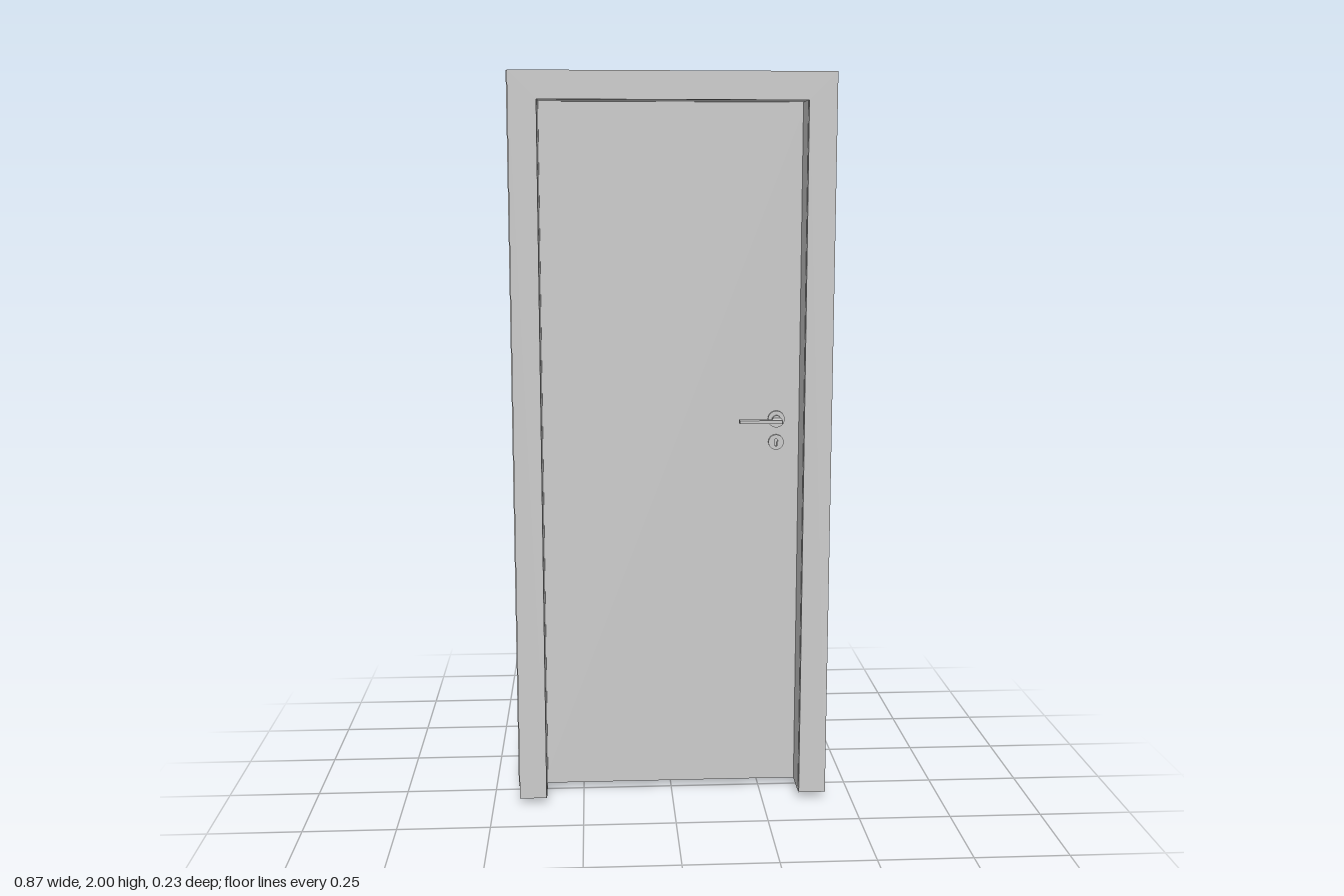
import * as THREE from 'three';

const material = new THREE.MeshStandardMaterial({ color: 0xcccccc });

function add(parent, name, geometry, x = 0, y = 0, z = 0) {
  const mesh = new THREE.Mesh(geometry, material);
  mesh.name = name;
  mesh.position.set(x, y, z);
  parent.add(mesh);
  return mesh;
}

// Solid between two depths, cut from an outline in the xy plane
function slab(shape, z0, z1, curveSegments = 8) {
  const g = new THREE.ExtrudeGeometry(shape, { depth: z1 - z0, bevelEnabled: false, curveSegments });
  return g.translate(0, 0, z0);
}

// Three-sided door surround, open at the floor
function surround(outer, inner, bottom, top, innerTop) {
  return new THREE.Shape([
    [-outer, bottom], [-inner, bottom], [-inner, innerTop], [inner, innerTop],
    [inner, bottom], [outer, bottom], [outer, top], [-outer, top],
  ].map(([x, y]) => new THREE.Vector2(x, y)));
}

// Handle set whose base lies on z = 0 and which projects towards +z
function createHandle(name) {
  const handle = new THREE.Group();
  handle.name = name;
  const x = 0.289, y = 1.067;

  const rose = new THREE.CylinderGeometry(0.023, 0.023, 0.008, 32).rotateX(Math.PI / 2);
  add(handle, 'leverRose', rose, x, y, 0.004);
  const collar = new THREE.CylinderGeometry(0.0115, 0.0115, 0.008, 24).rotateX(Math.PI / 2);
  add(handle, 'leverCollar', collar, x, y, 0.011);

  // Flat bent lever, outlined in plan (x, z)
  const plan = new THREE.Shape();
  plan.moveTo(0.300, 0.008);
  plan.lineTo(0.300, 0.059);
  plan.quadraticCurveTo(0.300, 0.062, 0.297, 0.062);
  plan.lineTo(0.183, 0.062);
  plan.lineTo(0.183, 0.039);
  plan.lineTo(0.268, 0.039);
  plan.quadraticCurveTo(0.277, 0.039, 0.277, 0.030);
  plan.lineTo(0.277, 0.008);
  plan.closePath();
  const lever = slab(plan, -0.0045, 0.0045).rotateX(Math.PI / 2);
  lever.scale(1, 1, 1);
  add(handle, 'lever', lever, 0, y, 0);

  // Key rose with a keyhole cut through it
  const disc = new THREE.Shape().absarc(0, 0, 0.021, 0, Math.PI * 2, false);
  const keyhole = new THREE.Path();
  keyhole.absarc(0, 0.004, 0.005, -Math.PI / 3, Math.PI * 4 / 3, false);
  keyhole.lineTo(-0.0025, -0.011);
  keyhole.lineTo(0.0025, -0.011);
  keyhole.closePath();
  disc.holes.push(keyhole);
  add(handle, 'keyRose', slab(disc, 0, 0.008, 16), x, 1.003, 0);
  return handle;
}

export function createModel() {
  const door = new THREE.Group();
  door.name = 'door';

  // Flat trims on both faces of the wall
  add(door, 'frontTrim', slab(surround(0.427, 0.353, 0.02, 1.99, 1.917), 0.102, 0.112));
  add(door, 'backTrim', slab(surround(0.437, 0.372, 0, 2, 1.936), -0.032, -0.022));

  // Lining of the opening and the rebate that receives the leaf
  add(door, 'lining', slab(surround(0.364, 0.352, 0.02, 1.934, 1.918), 0.012, 0.102));
  add(door, 'rebate', slab(surround(0.377, 0.366, 0.02, 1.935, 1.928), -0.022, 0.012));

  // Door leaf
  add(door, 'leaf', new THREE.BoxGeometry(0.728, 1.904, 0.033), 0, 0.974, -0.006);

  // Handles on both faces
  const front = createHandle('frontHandle');
  front.position.z = 0.011;
  const back = createHandle('backHandle');
  // Half turn about the lever axis, then moved so heights agree
  back.traverse((part) => {
    if (!part.isMesh) return;
    part.geometry.rotateY(Math.PI);
    part.position.z *= -1;
    if (part.name === 'lever') {
      // Turn the lever over so that it points the same way
      part.geometry.rotateZ(Math.PI);
    }
  });
  back.position.z = -0.053;
  door.add(front, back);
  return door;
}
